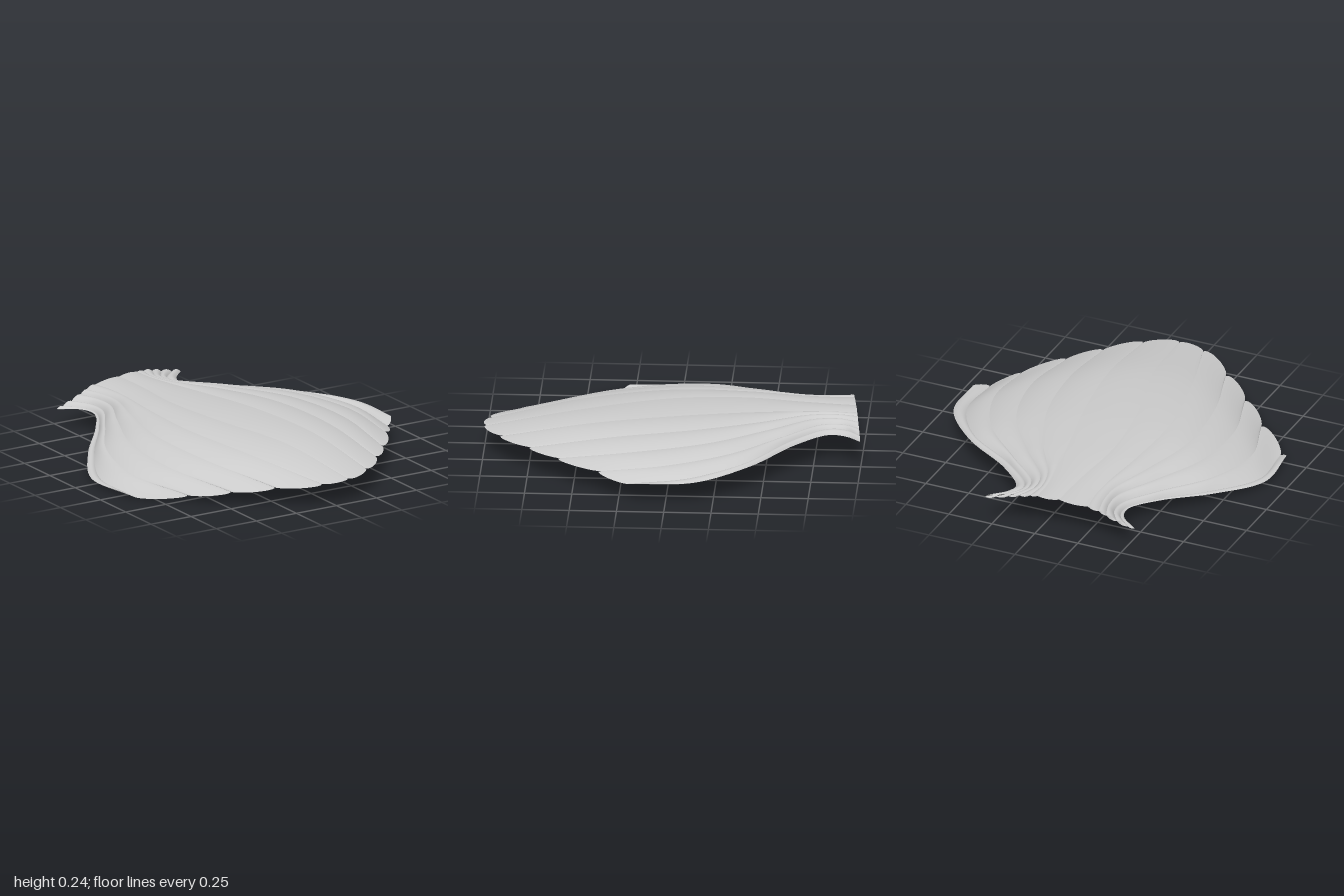
import * as THREE from 'three';

// Seams between ribs, from the right edge (-x) to the left edge (+x):
// x at each station from hinge to rim, the z at the rim, and the heights along the seam.
const STATIONS = [0, 0.07, 0.15, 0.3, 0.5, 0.75, 1];
const SEAM_X = [
  [-0.54, -0.44, -0.42, -0.525, -0.72, -0.885, -0.87],
  [-0.5, -0.42, -0.405, -0.505, -0.69, -0.84, -0.82],
  [-0.44, -0.38, -0.38, -0.5, -0.67, -0.73, -0.62],
  [-0.38, -0.345, -0.345, -0.45, -0.57, -0.575, -0.45],
  [-0.34, -0.315, -0.315, -0.385, -0.455, -0.41, -0.27],
  [-0.28, -0.265, -0.27, -0.3, -0.31, -0.22, -0.07],
  [-0.12, -0.125, -0.135, -0.16, -0.12, 0.01, 0.08],
  [0, 0, 0.02, 0.075, 0.155, 0.225, 0.25],
  [0.04, 0.025, 0.055, 0.2, 0.335, 0.4, 0.41],
  [0.1, 0.06, 0.085, 0.27, 0.475, 0.565, 0.55],
  [0.16, 0.105, 0.12, 0.32, 0.57, 0.705, 0.71],
  [0.23, 0.15, 0.145, 0.315, 0.635, 0.81, 0.82],
  [0.29, 0.215, 0.19, 0.335, 0.645, 0.865, 0.885],
];
const RIM_Z = [0.28, 0.31, 0.5, 0.66, 0.81, 0.96, 0.98, 0.89, 0.73, 0.57, 0.35, 0.2, 0.13];
const HEIGHT_STATIONS = [0, 0.3, 0.65, 1];
const SEAM_Y = [
  [0.115, 0.1, 0.04, 0.027],
  [0.12, 0.1, 0.037, 0.003],
  [0.14, 0.124, 0.08, 0.033],
  [0.165, 0.158, 0.126, 0.066],
  [0.185, 0.189, 0.166, 0.1],
  [0.2, 0.213, 0.2, 0.125],
  [0.213, 0.23, 0.222, 0.135],
  [0.214, 0.233, 0.225, 0.139],
  [0.21, 0.224, 0.212, 0.137],
  [0.2, 0.208, 0.19, 0.13],
  [0.185, 0.186, 0.165, 0.12],
  [0.17, 0.165, 0.13, 0.092],
  [0.158, 0.15, 0.128, 0.117],
];

// Cubic through the four heights of a seam
function seamHeight(ys, v) {
  return ys.reduce((sum, y, i) => sum + HEIGHT_STATIONS.reduce(
    (w, node, j) => (j === i ? w : w * (v - node) / (HEIGHT_STATIONS[i] - node)), y), 0);
}

function seamCurve(xs, i) {
  const hingeZ = -0.968 - 0.108 * xs[0];
  return new THREE.CatmullRomCurve3(STATIONS.map((v, k) =>
    new THREE.Vector3(xs[k], seamHeight(SEAM_Y[i], v), THREE.MathUtils.lerp(hingeZ, RIM_Z[i], v))));
}

// One face of a rib between two seams, swelling up or down and thinning to a scallop at the rim
function ribFace(seamA, seamB, swell, rows = 72, cols = 14) {
  const positions = [];
  const indices = [];
  const rimWidth = seamA.getPoint(1).distanceTo(seamB.getPoint(1));
  for (let r = 0; r <= rows; r++) {
    const s = r / rows;
    const a = seamA.getPoint(s);
    const b = seamB.getPoint(s);
    const tip = Math.max(0, (s - 0.8) / 0.2) ** 2;
    const height = swell * Math.min(1, a.distanceTo(b) / 0.06) * (1 - tip);
    for (let c = 0; c <= cols; c++) {
      const t = (1 - Math.cos(Math.PI * c / cols)) / 2;
      const arch = Math.max(0, 4 * t * (1 - t));
      const p = a.clone().lerp(b, t);
      p.y += height * arch;
      p.z += Math.min(0.055, 0.22 * rimWidth) * Math.sqrt(arch) * tip;
      positions.push(p.x, p.y, p.z);
      if (r < rows && c < cols) {
        const k = r * (cols + 1) + c;
        const n = k + cols + 1;
        indices.push(k, n, k + 1, k + 1, n, n + 1);
      }
    }
  }
  const geometry = new THREE.BufferGeometry();
  geometry.setAttribute('position', new THREE.Float32BufferAttribute(positions, 3));
  geometry.setIndex(indices);
  geometry.computeVertexNormals();
  return geometry;
}

export function createModel() {
  const shell = new THREE.Group();
  shell.name = 'scallopedShell';
  const material = new THREE.MeshStandardMaterial({ color: 0xcccccc, side: THREE.DoubleSide });
  const seams = SEAM_X.map(seamCurve);

  // Ribs swell more towards the sides, and a little on the underside
  for (let i = 0; i < seams.length - 1; i++) {
    const side = Math.abs(2 * i / (seams.length - 2) - 1);
    const rib = new THREE.Group();
    rib.name = `rib${i + 1}`;
    const top = new THREE.Mesh(ribFace(seams[i], seams[i + 1], 0.007 + 0.006 * side), material);
    top.name = 'ribTop';
    const underside = new THREE.Mesh(ribFace(seams[i], seams[i + 1], -0.009), material);
    underside.name = 'ribUnderside';
    rib.add(top, underside);
    shell.add(rib);
  }
  return shell;
}
